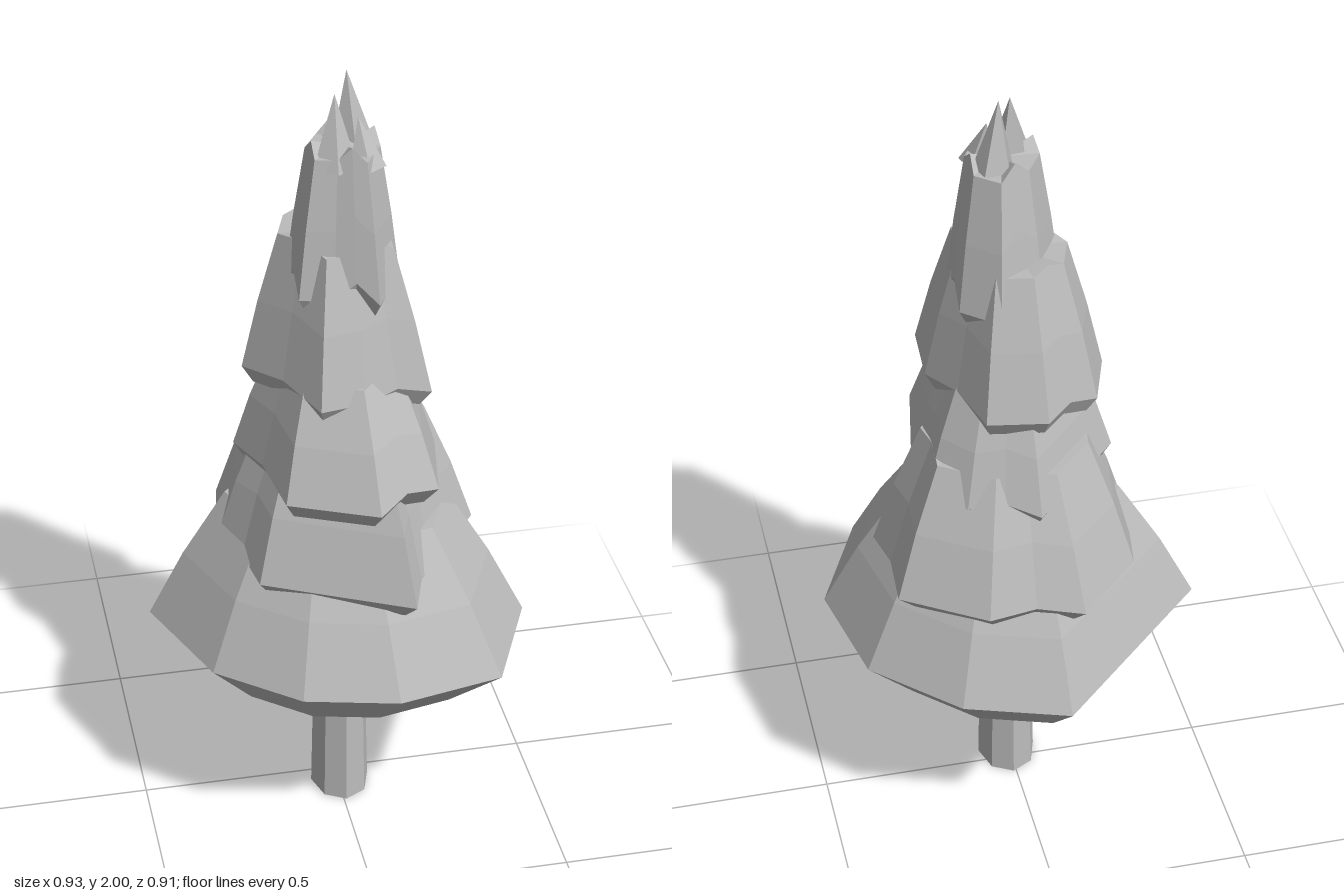
import * as THREE from 'three';

// Cuts a notch (raised and pulled in) at the middle of every second rim edge
function notched(points, center, raise) {
  const rim = [];
  points.forEach(([x, z], i) => {
    rim.push([x, z, 0]);
    if (raise === 0 || i % 2 === 0) return;
    const [nx, nz] = points[(i + 1) % points.length];
    const mid = (a, b, c) => c + ((a + b) / 2 - c) * 0.96;
    rim.push([mid(x, nx, center[0]), mid(z, nz, center[1]), raise]);
  });
  return rim;
}

// Flat-faceted tier: the rim outline scaled through rings of [scale, y], capped at both ends
function tierGeometry(rim, [cx, cz], rings) {
  const levels = rings.map(([s, y]) =>
    rim.map(([x, z, dy]) => [cx + (x - cx) * s, y + dy * s, cz + (z - cz) * s]));
  const first = levels[0];
  const last = levels[levels.length - 1];
  const bottom = [cx, rings[0][1], cz];
  const top = [cx, rings[rings.length - 1][1], cz];
  const pos = [];
  const tri = (...corners) => corners.forEach((p) => pos.push(...p));
  for (let i = 0; i < rim.length; i++) {
    const j = (i + 1) % rim.length;
    for (let k = 0; k < levels.length - 1; k++) {
      const lo = levels[k];
      const up = levels[k + 1];
      tri(lo[j], lo[i], up[i]);
      tri(lo[j], up[i], up[j]);
    }
    tri(bottom, first[i], first[j]);
    tri(top, last[j], last[i]);
  }
  const g = new THREE.BufferGeometry();
  g.setAttribute('position', new THREE.Float32BufferAttribute(pos, 3));
  g.computeVertexNormals();
  return g;
}

// Five-sided shoot whose tip leans by a shear
function spikeGeometry(x, z, radius, baseY, tip) {
  const height = tip.y - baseY;
  const g = new THREE.ConeGeometry(radius, height, 5);
  g.translate(0, height / 2, 0);
  const shear = new THREE.Matrix4().set(
    1, (tip.x - x) / height, 0, x,
    0, 1, 0, baseY,
    0, (tip.z - z) / height, 1, z,
    0, 0, 0, 1);
  return g.applyMatrix4(shear);
}

export function createModel() {
  const tree = new THREE.Group();
  tree.name = 'tree';
  const grey = new THREE.MeshStandardMaterial({ color: 0xbbbbbb });
  grey.name = 'plain grey';
  grey.flatShading = true;

  const add = (name, geometry) => {
    const mesh = new THREE.Mesh(geometry, grey);
    mesh.name = name;
    tree.add(mesh);
    return mesh;
  };

  // Underside lip, rim, slightly bulging flank and narrow top
  const addTier = (name, center, points, { rimY, topY, topScale, notch, lip, drop }) => {
    const rings = [
      [lip, rimY - drop],
      [1, rimY],
      [(1 + topScale) / 2 + 0.02, (rimY + topY) / 2],
      [topScale, topY],
    ];
    add(name, tierGeometry(notched(points, center, notch), center, rings));
  };

  // Eight-sided trunk, slightly deeper than wide
  const trunk = add('trunk', new THREE.CylinderGeometry(0.066, 0.075, 0.42, 8));
  trunk.scale.z = 1.32;
  trunk.position.set(0.007, 0.21, 0.04);

  // Branch tiers, bottom to top; rim corners are [x, z]
  addTier('bottomTier', [0, 0],
    [[-0.465, -0.05], [-0.05, -0.455], [0.205, -0.37], [0.405, -0.175], [0.465, 0.12],
      [0.34, 0.4], [0.075, 0.455], [-0.155, 0.4], [-0.35, 0.24]],
    { rimY: 0.53, topY: 0.88, topScale: 0.58, notch: 0, lip: 0.7, drop: 0.14 });
  addTier('lowerTier', [0.01, 0.01],
    [[-0.265, -0.2], [-0.1, -0.37], [0.13, -0.345], [0.33, -0.215], [0.345, 0.04],
      [0.2, 0.24], [0.12, 0.415], [-0.23, 0.24], [-0.3, 0.02]],
    { rimY: 0.775, topY: 1.1, topScale: 0.63, notch: 0.015, lip: 0.86, drop: 0.055 });
  addTier('middleTier', [0, 0.02],
    [[-0.245, -0.03], [-0.01, -0.285], [0.155, -0.215], [0.235, -0.12], [0.24, 0.06],
      [0.2, 0.28], [0.04, 0.375], [-0.17, 0.28]],
    { rimY: 1.02, topY: 1.29, topScale: 0.62, notch: 0.02, lip: 0.86, drop: 0.055 });
  addTier('upperTier', [0, 0.01],
    [[-0.225, 0], [-0.175, -0.15], [-0.04, -0.225], [0.105, -0.2], [0.205, 0.04],
      [0.195, 0.21], [0.035, 0.235], [-0.08, 0.255]],
    { rimY: 1.25, topY: 1.6, topScale: 0.6, notch: 0.02, lip: 0.88, drop: 0.045 });
  addTier('topTier', [0.015, 0.04],
    [[-0.125, 0.03], [-0.06, -0.08], [0.055, -0.145], [0.14, -0.07], [0.145, 0.07],
      [0.07, 0.2], [-0.03, 0.16], [-0.11, 0.14]],
    { rimY: 1.49, topY: 1.83, topScale: 0.64, notch: 0.05, lip: 0.86, drop: 0.04 });

  // Pointed crown shoots
  add('backSpike', spikeGeometry(0.045, -0.005, 0.058, 1.8, new THREE.Vector3(0.03, 2, 0)));
  add('frontSpike', spikeGeometry(-0.015, 0.08, 0.055, 1.8, new THREE.Vector3(-0.01, 1.97, 0.06)));
  add('sideSpike', spikeGeometry(0.06, 0.09, 0.045, 1.8, new THREE.Vector3(0.045, 1.91, 0.06)));

  return tree;
}
